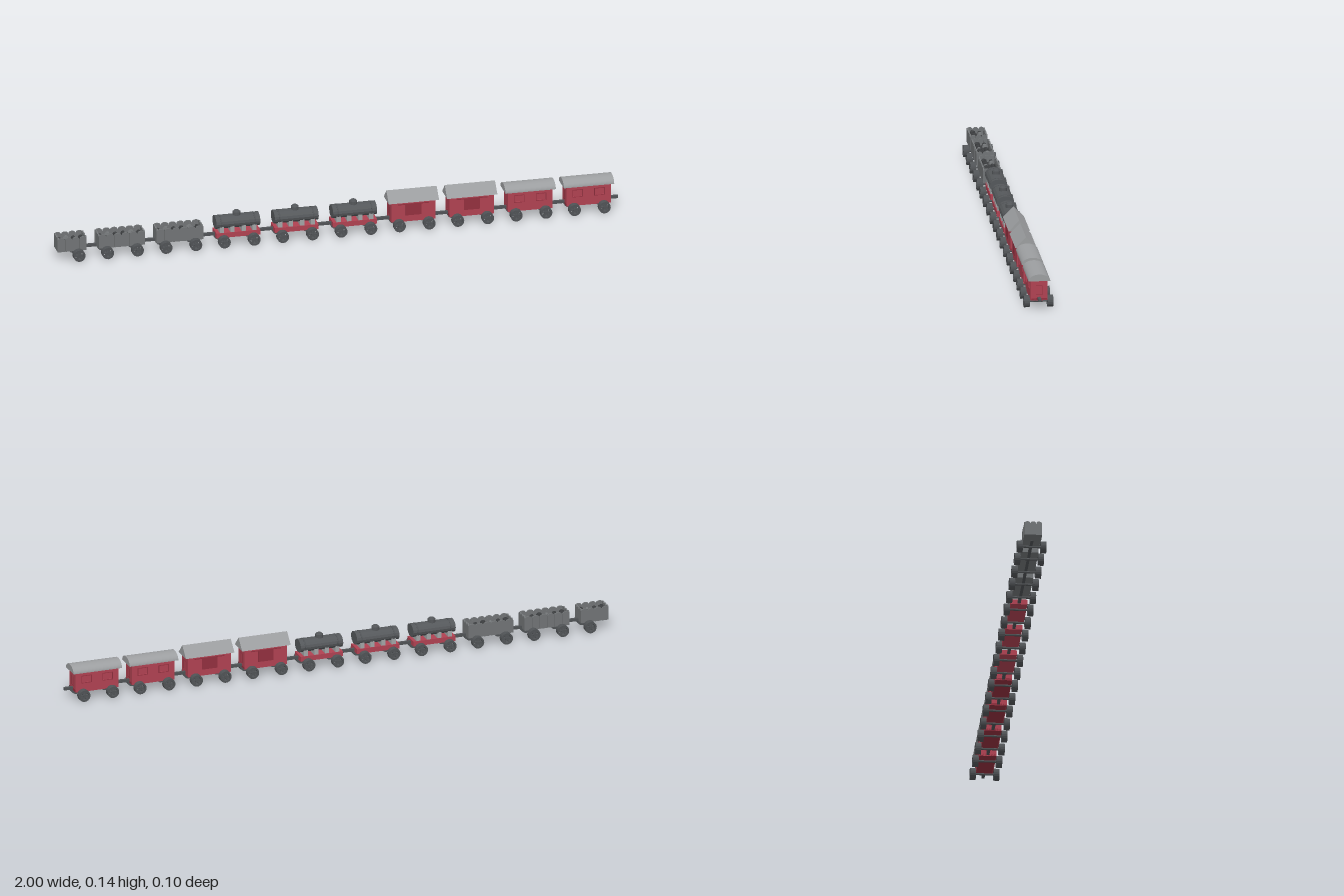
import * as THREE from 'three';

const paint = (color) => new THREE.MeshStandardMaterial({ color, flatShading: true, side: THREE.DoubleSide });
const RED = paint(0xb04252), DARKRED = paint(0x93303f), ROOF = paint(0x9c9ea0), TANK = paint(0x55585b);
const WHEEL = paint(0x505356), SLAT = paint(0x717476), COAL = paint(0x3c3e40), SADDLE = paint(0xa2a5a7);

function add(parent, name, geometry, material, x = 0, y = 0, z = 0) {
  const mesh = new THREE.Mesh(geometry, material);
  mesh.name = name;
  mesh.position.set(x, y, z);
  parent.add(mesh);
  return mesh;
}
const box = (parent, name, w, h, d, material, x, y, z) =>
  add(parent, name, new THREE.BoxGeometry(w, h, d), material, x, y, z);
const extrude = (shape, depth, curveSegments = 8) =>
  new THREE.ExtrudeGeometry(shape, { depth, bevelEnabled: false, curveSegments });

function rect(path, x0, y0, x1, y1) {
  path.moveTo(x0, y0);
  path.lineTo(x1, y0);
  path.lineTo(x1, y1);
  path.lineTo(x0, y1);
  path.closePath();
  return path;
}

// Flat rectangular frame in the XY plane
function frameGeometry(x0, y0, x1, y1, t, depth) {
  const shape = rect(new THREE.Shape(), x0 - t, y0 - t, x1 + t, y1 + t);
  shape.holes.push(rect(new THREE.Path(), x0, y0, x1, y1));
  return extrude(shape, depth);
}

// Spoked wheel: rim, hub and spokes share geometry across the train
const rimShape = new THREE.Shape().absarc(0, 0, 0.021, 0, Math.PI * 2);
rimShape.holes.push(new THREE.Path().absarc(0, 0, 0.0145, 0, Math.PI * 2, true));
const rimGeo = extrude(rimShape, 0.02, 10).translate(0, 0, -0.01);
const hubGeo = new THREE.CylinderGeometry(0.006, 0.006, 0.02, 10).rotateX(Math.PI / 2);
const spokeGeo = new THREE.BoxGeometry(0.03, 0.005, 0.012);
const axleGeo = new THREE.CylinderGeometry(0.004, 0.004, 0.08, 8).rotateX(Math.PI / 2);

function addWheelset(car, x) {
  const set = new THREE.Group();
  set.name = 'wheelset';
  set.position.set(x, 0.021, 0);
  car.add(set);
  add(set, 'axle', axleGeo, WHEEL);
  for (const side of [-1, 1]) {
    const z = side * 0.041;
    add(set, 'wheelRim', rimGeo, WHEEL, 0, 0, z);
    add(set, 'wheelHub', hubGeo, WHEEL, 0, 0, z);
    for (let i = 0; i < 3; i++) {
      add(set, 'wheelSpoke', spokeGeo, WHEEL, 0, 0, z).rotation.z = i * Math.PI / 3;
    }
  }
}

// Closed red body: hollow, with optional window openings
function addBody(car, windows) {
  const side = rect(new THREE.Shape(), -0.079, 0.03, 0.079, 0.104);
  for (const [a, b] of windows) side.holes.push(rect(new THREE.Path(), a, 0.064, b, 0.088));
  const wall = extrude(side, 0.003);
  add(car, 'sideWall', wall, RED, 0, 0, 0.027);
  add(car, 'sideWall', wall, RED, 0, 0, -0.03);
  box(car, 'floor', 0.158, 0.008, 0.058, DARKRED, 0, 0.034, 0);
  for (const s of [-1, 1]) {
    box(car, 'endWall', 0.003, 0.074, 0.06, RED, s * 0.0775, 0.067, 0);
    const door = add(car, 'endDoorFrame', frameGeometry(-0.01, 0.051, 0.01, 0.082, 0.0015, 0.002), DARKRED, s * 0.078);
    door.rotation.y = s * Math.PI / 2;
    for (const [a, b] of windows) {
      const z = s > 0 ? 0.0295 : -0.0315;
      add(car, 'windowFrame', frameGeometry(a, 0.064, b, 0.088, 0.002, 0.002), DARKRED, 0, 0, z);
    }
  }
}

// Roof profile runs across the car (z) and is extruded along x
function addRoof(car, shape) {
  const geo = extrude(shape, 0.179, 12).translate(0, 0, -0.0895).rotateY(Math.PI / 2);
  add(car, 'roof', geo, ROOF);
}

function passengerCar(car) {
  addBody(car, [[-0.056, -0.022], [0.022, 0.056]]);
  addRoof(car, new THREE.Shape().absellipse(0, 0.102, 0.038, 0.024, 0, Math.PI));
}

function boxCar(car) {
  addBody(car, []);
  for (const s of [-1, 1]) {
    box(car, 'slidingDoor', 0.056, 0.04, 0.003, DARKRED, 0, 0.073, s * 0.031);
    box(car, 'doorRail', 0.11, 0.003, 0.003, DARKRED, 0, 0.0945, s * 0.031);
  }
  const gable = new THREE.Shape();
  gable.moveTo(-0.037, 0.102);
  gable.lineTo(0.037, 0.102);
  gable.lineTo(0, 0.14);
  gable.closePath();
  addRoof(car, gable);
}

function tankCar(car) {
  box(car, 'chassis', 0.156, 0.018, 0.058, RED, 0, 0.04, 0);
  // Tank barrel, slightly flattened
  const barrel = new THREE.CylinderGeometry(0.031, 0.031, 0.156, 16).rotateZ(Math.PI / 2).scale(1, 0.74, 1);
  add(car, 'tank', barrel, TANK, 0, 0.081, 0);
  for (const x of [-0.058, -0.02, 0.02, 0.058]) {
    box(car, 'saddle', 0.015, 0.026, 0.054, SADDLE, x, 0.061, 0);
  }
  for (const x of [-0.06, 0.06]) {
    const band = new THREE.CylinderGeometry(0.032, 0.032, 0.005, 16).rotateZ(Math.PI / 2).scale(1, 0.74, 1);
    add(car, 'tankBand', band, WHEEL, x, 0.081, 0);
  }
  // Filler dome
  add(car, 'dome', new THREE.CylinderGeometry(0.014, 0.014, 0.014, 12), TANK, 0, 0.107, 0);
  add(car, 'domeLid', new THREE.CylinderGeometry(0.009, 0.012, 0.005, 12), TANK, 0, 0.116, 0);
}

// Open wagon of round-topped planks, spanning local x0..x1
function openCar(car, x0, x1) {
  const length = x1 - x0, mid = (x0 + x1) / 2;
  const count = Math.round(length / 0.0276), pitch = length / count, r = pitch / 2 - 0.001;
  const plank = (half) => {
    const s = new THREE.Shape();
    s.moveTo(-half, 0.034);
    s.lineTo(half, 0.034);
    s.lineTo(half, 0.077);
    s.absellipse(0, 0.077, half, 0.008, 0, Math.PI);
    return extrude(s, 0.005);
  };
  const sidePlank = plank(r), endPlank = plank(0.0095);
  box(car, 'floor', length, 0.008, 0.056, SLAT, mid, 0.038, 0);
  for (const s of [-1, 1]) {
    box(car, 'sideWall', length, 0.042, 0.003, SLAT, mid, 0.055, s * 0.027);
    box(car, 'endWall', 0.003, 0.042, 0.056, SLAT, mid + s * (length / 2 - 0.003), 0.055, 0);
    for (let i = 0; i < count; i++) {
      add(car, 'sidePlank', sidePlank, SLAT, x0 + pitch * (i + 0.5), 0, s > 0 ? 0.026 : -0.031);
    }
    for (let i = -1; i <= 1; i++) {
      const end = add(car, 'endPlank', endPlank, SLAT, mid + s * (length / 2 - 0.005), 0, i * 0.02);
      end.rotation.y = s * Math.PI / 2;
    }
  }
  // Load of lumps
  box(car, 'load', length - 0.008, 0.02, 0.052, COAL, mid, 0.052, 0);
  for (let i = 0; i < count; i++) {
    for (const row of [-1, 1]) {
      const size = 0.009 + 0.002 * Math.sin(i * 2.3 + row);
      const x = x0 + pitch * (i + 0.5);
      const lump = add(car, 'lump', new THREE.DodecahedronGeometry(size), (i + row) % 3 ? COAL : SLAT, x, 0.067, row * 0.012);
      lump.rotation.set(i, row, i * 0.7);
    }
  }
}

export function createModel() {
  const train = new THREE.Group();
  train.name = 'train';
  const makers = [
    (c) => openCar(c, -0.02, 0.083), // short tail wagon
    (c) => openCar(c, -0.083, 0.083),
    (c) => openCar(c, -0.083, 0.083),
    tankCar, tankCar, tankCar, boxCar, boxCar, passengerCar, passengerCar,
  ];
  const names = ['tailWagon', 'openWagon', 'openWagon', 'tankCar', 'tankCar', 'tankCar',
    'boxCar', 'boxCar', 'passengerCar', 'passengerCar'];
  makers.forEach((make, i) => {
    const car = new THREE.Group();
    car.name = names[i];
    car.position.x = -0.98 + i * 0.2076;
    make(car);
    if (i > 0) addWheelset(car, -0.053);
    addWheelset(car, 0.053);
    train.add(car);
  });
  // Coupling bar running the length of the train
  box(train, 'couplingBar', 1.95, 0.01, 0.01, WHEEL, 0.025, 0.038, 0);
  return train;
}
